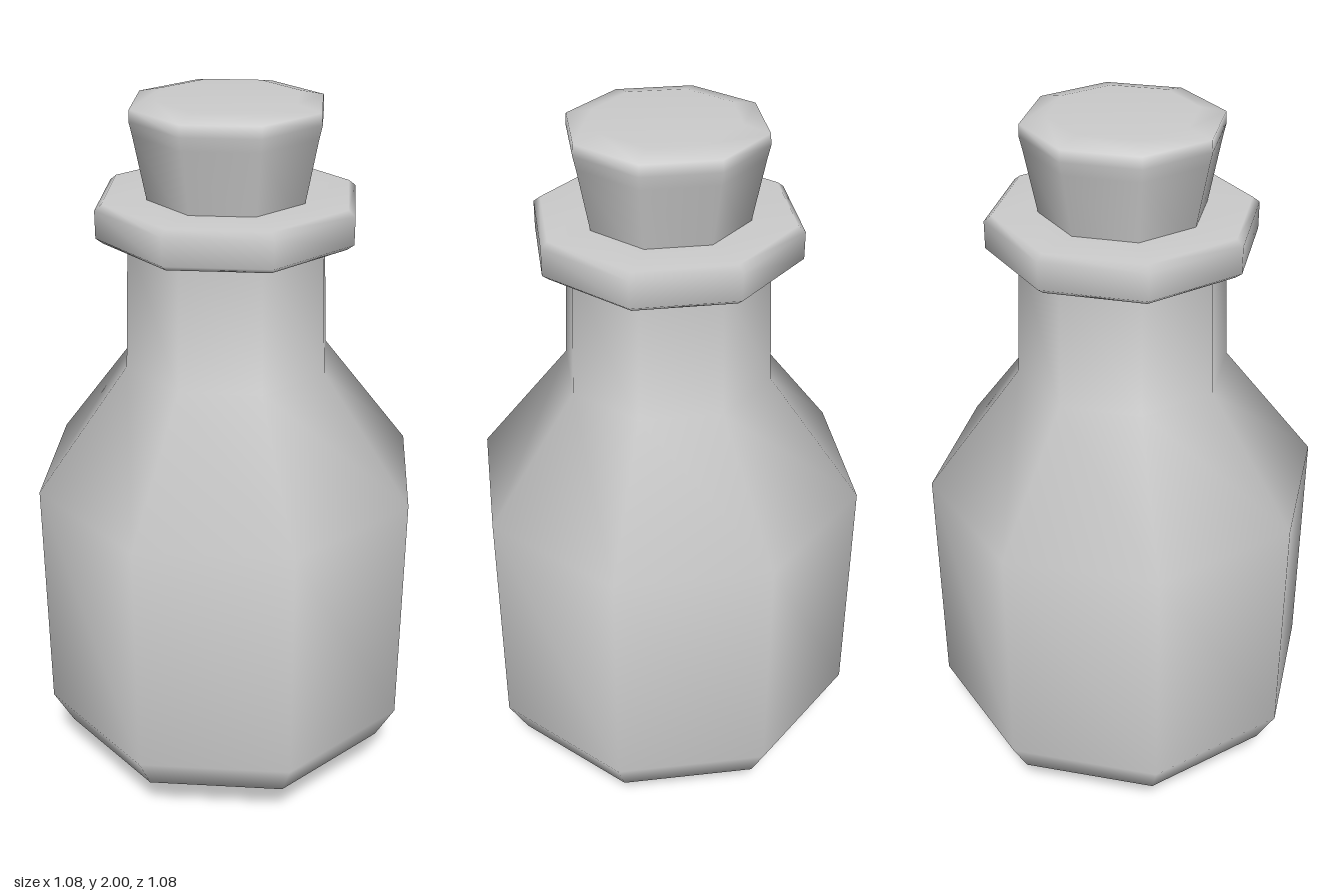
import * as THREE from 'three';

const SIDES = 8;

// Revolve a bottom-to-top [radius, height] profile into a smooth eight-sided part
function turned(name, profile, material) {
  const points = profile.map(([r, y]) => new THREE.Vector2(r, y));
  const mesh = new THREE.Mesh(new THREE.LatheGeometry(points, SIDES), material);
  mesh.name = name;
  return mesh;
}

export function createModel() {
  const group = new THREE.Group();
  group.name = 'corkedBottle';
  const grey = new THREE.MeshStandardMaterial({ color: 0xcccccc });
  grey.name = 'paleGrey';

  // Rounded base, straight belly, sloped shoulder and neck
  group.add(turned('bottleBody', [
    [0, 0], [0.215, 0.03], [0.38, 0.09], [0.487, 0.17], [0.542, 0.275],
    [0.542, 0.96], [0.285, 1.3], [0.27, 1.67],
  ], grey));

  // Bevelled lip around the mouth
  group.add(turned('lip', [
    [0.2, 1.65], [0.335, 1.65], [0.354, 1.665],
    [0.354, 1.738], [0.335, 1.753], [0.2, 1.753],
  ], grey));

  // Tapered stopper with a softened top edge
  group.add(turned('stopper', [
    [0.207, 1.7], [0.25, 1.92], [0.258, 1.955], [0.256, 1.985],
    [0.19, 2], [0, 2],
  ], grey));

  return group;
}
